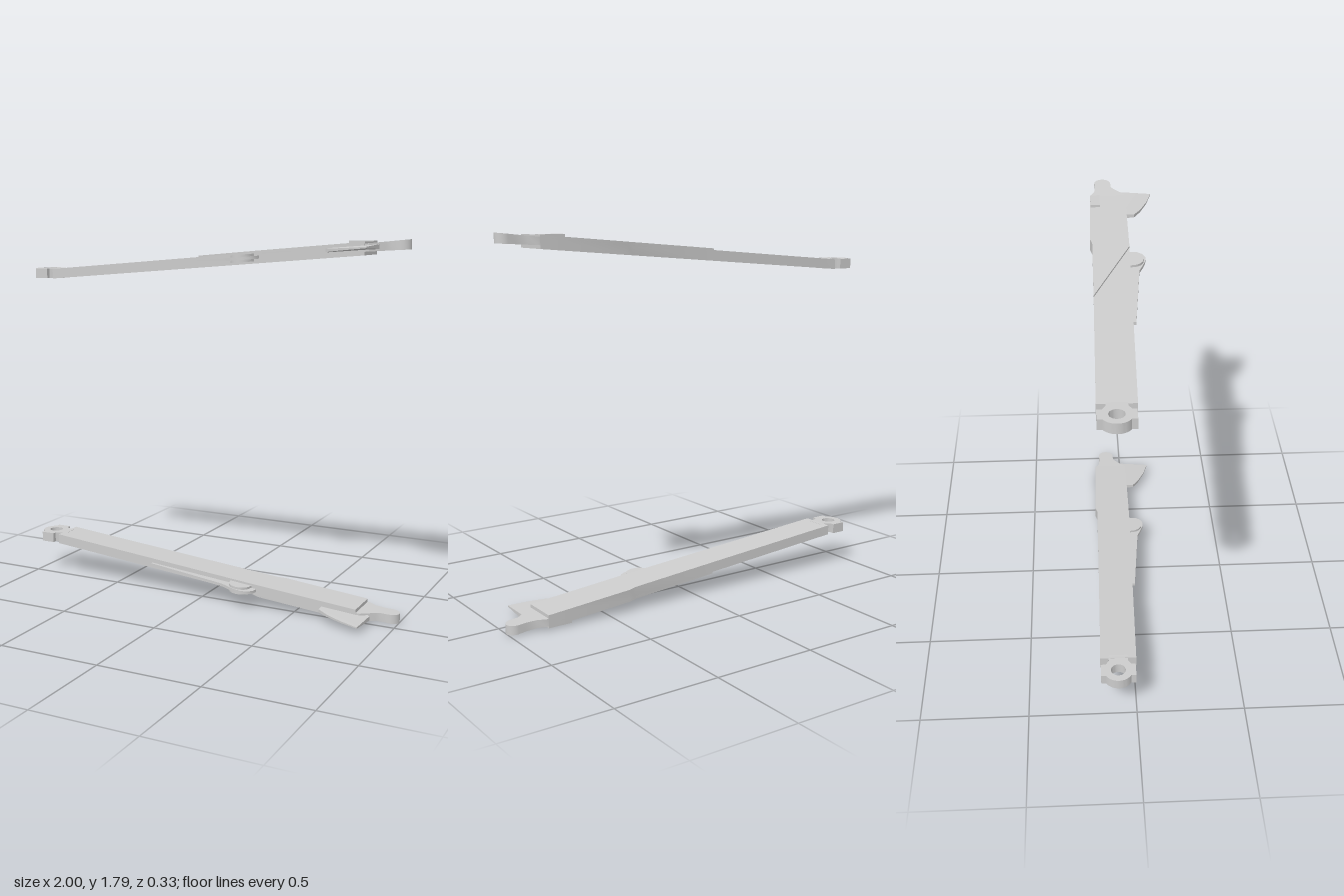
import * as THREE from 'three';
import { toCreasedNormals } from 'three/addons/utils/BufferGeometryUtils.js';

const MID = 0.8935; // height of the mirror plane between the two arms
const material = new THREE.MeshStandardMaterial({ color: 0xcccccc });

// Points of an arc in plan (x, z)
function arc(cx, cz, r, from, to, n = 12) {
  return Array.from({ length: n + 1 }, (_, i) => {
    const a = from + (to - from) * i / n;
    return [cx + r * Math.cos(a), cz + r * Math.sin(a)];
  });
}

// Straight line through two (x, y) points
const line = (x0, y0, x1, y1) => x => y0 + (y1 - y0) * (x - x0) / (x1 - x0);

// Plan outline filled between a lower and an upper surface, both given as y(x, z)
function slab(points, lo, hi, hole) {
  const toV = ([x, z]) => new THREE.Vector2(x, -z);
  const shape = new THREE.Shape(points.map(toV));
  if (hole) shape.holes.push(new THREE.Path(hole.map(toV)));
  const geo = new THREE.ExtrudeGeometry(shape, { depth: 1, bevelEnabled: false });
  geo.rotateX(-Math.PI / 2);
  const p = geo.attributes.position;
  for (let i = 0; i < p.count; i++) {
    const x = p.getX(i), z = p.getZ(i);
    p.setY(i, p.getY(i) > 0.5 ? hi(x, z) : lo(x, z));
  }
  return toCreasedNormals(geo, 0.6);
}

function createArm(name, upper) {
  const arm = new THREE.Group();
  arm.name = name;
  const add = (part, points, lo, hi, hole) => {
    const flip = f => (x, z) => 2 * MID - f(x, z);
    const geo = upper ? slab(points, lo, hi, hole) : slab(points, flip(hi), flip(lo), hole);
    const mesh = new THREE.Mesh(geo, material);
    mesh.name = part;
    arm.add(mesh);
  };
  const bottom = line(-0.85, 1.574, 0.82, 1.716);
  const top = line(-0.85, 1.623, 0.82, 1.768);

  // Level hinge ring with two lugs and a neck
  const a = 2.12;
  add('hinge', [
    [-0.84, -0.125], [-0.875, -0.125], [-0.898, -0.14], [-0.898, -0.163], [-0.968, -0.163],
    ...arc(-0.933, -0.083, 0.067, -a, -2 * Math.PI + a, 16),
    [-0.968, -0.002], [-0.898, -0.002], [-0.898, -0.022], [-0.875, -0.036], [-0.84, -0.036]
  ], () => 1.574, () => 1.623, arc(-0.933, -0.083, 0.034, 0, 2 * Math.PI * 23 / 24, 23));

  // Long sloping beam
  add('beam', [
    [-0.86, -0.165], [-0.77, -0.162], [-0.1, -0.152], [0.35, -0.147], [0.39, -0.157], [0.82, -0.147],
    [0.82, 0.03], [0.33, 0.028], [-0.86, 0.003]
  ], bottom, top);

  // Raised plate on the outer face, cut diagonally
  add('outerPlate', [
    [-0.1, -0.152], [0.35, -0.147], [0.39, -0.157], [0.82, -0.147], [0.82, 0.03], [0.32, 0.028]
  ], x => top(x) - 0.01, x => top(x) + 0.008);

  // Small level block at the rear corner of the plate
  add('cornerBlock', [[0.7, -0.147], [0.82, -0.147], [0.82, -0.1], [0.7, -0.1]],
    x => top(x) - 0.005, () => 1.778);

  // Rounded tip
  add('tip', [
    [0.8, -0.147], [0.83, -0.147], [0.87, -0.125], [0.92, -0.119],
    ...arc(0.959, -0.081, 0.041, -Math.PI / 2, Math.PI / 2, 16),
    [0.92, -0.038], [0.9, -0.025], [0.84, 0.028], [0.8, 0.03]
  ], line(0.82, 1.732, 1, 1.742), line(0.82, 1.768, 1, 1.787));

  // Slim side fin with a rounded end
  const finY = line(-0.28, 1.652, 0.3, 1.7);
  add('sideFin', [
    [-0.28, 0], [-0.28, 0.028], [0.14, 0.065], [0.18, 0.082], [0.22, 0.096],
    [0.255, 0.1], [0.285, 0.088], [0.305, 0.062], [0.31, 0]
  ], x => finY(x) - 0.007, x => finY(x) + 0.007);

  // Half-round boss on the fin
  add('finBoss', [[0.165, 0.02], ...arc(0.225, 0.035, 0.055, Math.PI, 0, 12), [0.285, 0.02]],
    x => finY(x) - 0.018, x => finY(x) + 0.018);

  // Tapered blade near the tip
  const bladeY = line(0.65, 1.737, 0.88, 1.755);
  const half = z => 0.011 - 0.05 * Math.max(z, 0);
  add('blade', [[0.65, 0], [0.65, 0.067], [0.7, 0.1], [0.78, 0.135], [0.872, 0.161], [0.882, 0.01], [0.85, -0.02]],
    (x, z) => bladeY(x) - half(z), (x, z) => bladeY(x) + half(z));
  return arm;
}

export function createModel() {
  const model = new THREE.Group();
  model.name = 'armPair';
  model.add(createArm('upperArm', true), createArm('lowerArm', false));
  return model;
}
